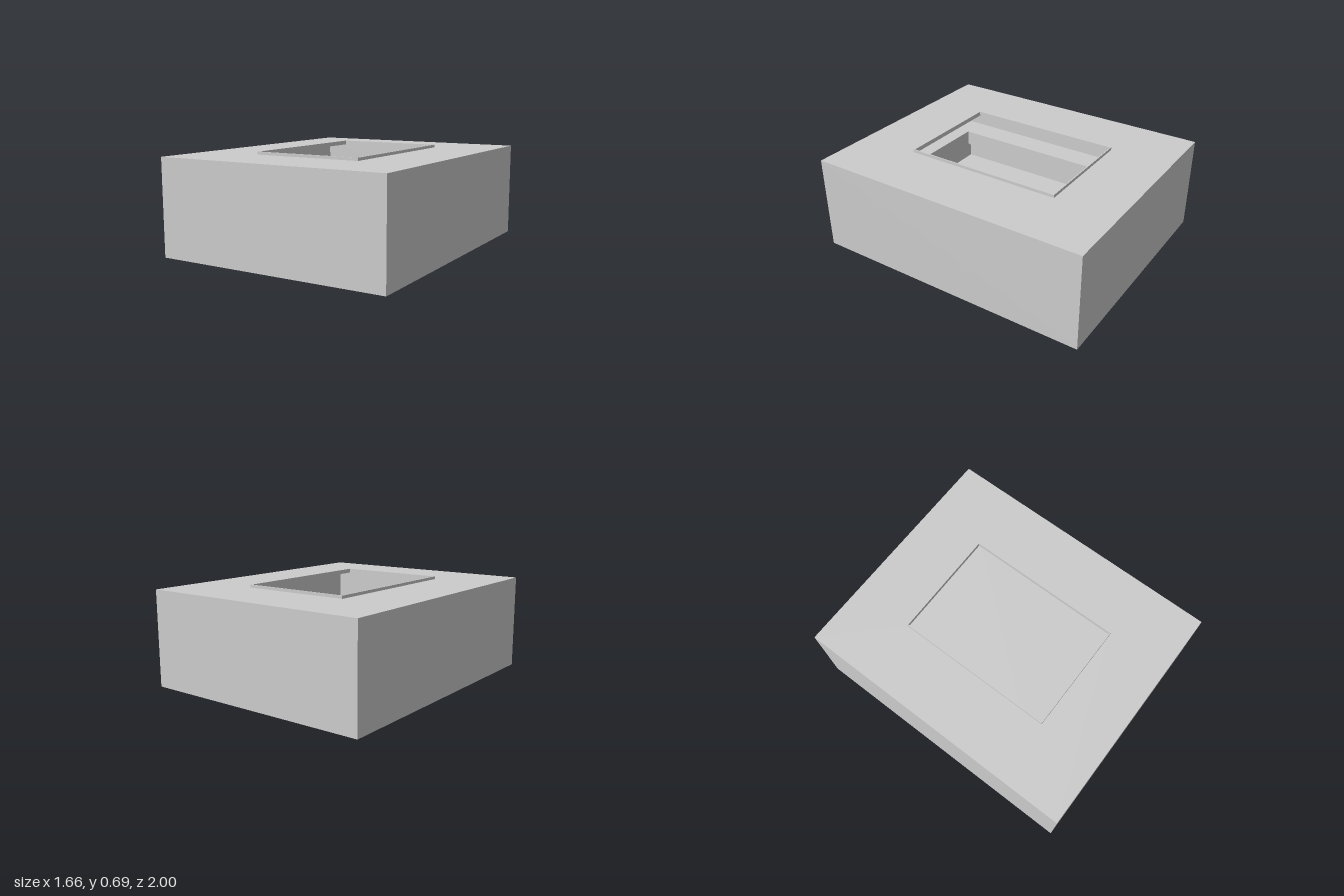
import * as THREE from 'three';

const material = new THREE.MeshStandardMaterial({ color: 0xcccccc, flatShading: true });

// Rectangle path given by half width and half depth
function rectangle(path, hx, hz) {
  path.moveTo(-hx, -hz);
  path.lineTo(hx, -hz);
  path.lineTo(hx, hz);
  path.lineTo(-hx, hz);
  path.closePath();
  return path;
}

// Horizontal slab between heights y0 and y1, with an optional rectangular hole
function slab(name, outer, inner, y0, y1) {
  const shape = rectangle(new THREE.Shape(), ...outer);
  if (inner) shape.holes.push(rectangle(new THREE.Path(), ...inner));
  const geometry = new THREE.ExtrudeGeometry(shape, { depth: y1 - y0, bevelEnabled: false });
  geometry.rotateX(-Math.PI / 2);
  geometry.translate(0, y0, 0);
  const mesh = new THREE.Mesh(geometry, material);
  mesh.name = name;
  return mesh;
}

export function createModel() {
  const group = new THREE.Group();
  group.name = 'hollowBox';

  const outside = [0.83, 1];
  const cavity = [0.81, 0.98];
  const opening = [0.382, 0.552];

  group.add(
    // Thin-walled case
    slab('floor', outside, null, 0, 0.02),
    slab('sideWalls', outside, cavity, 0.02, 0.66),
    slab('topPanel', outside, opening, 0.66, 0.67),
    // Raised lip around the opening
    slab('openingRim', [0.39, 0.56], opening, 0.67, 0.69),
    // Ledge running around the inside at mid height
    slab('innerLedge', cavity, [0.625, 0.86], 0.235, 0.347),
  );
  return group;
}
